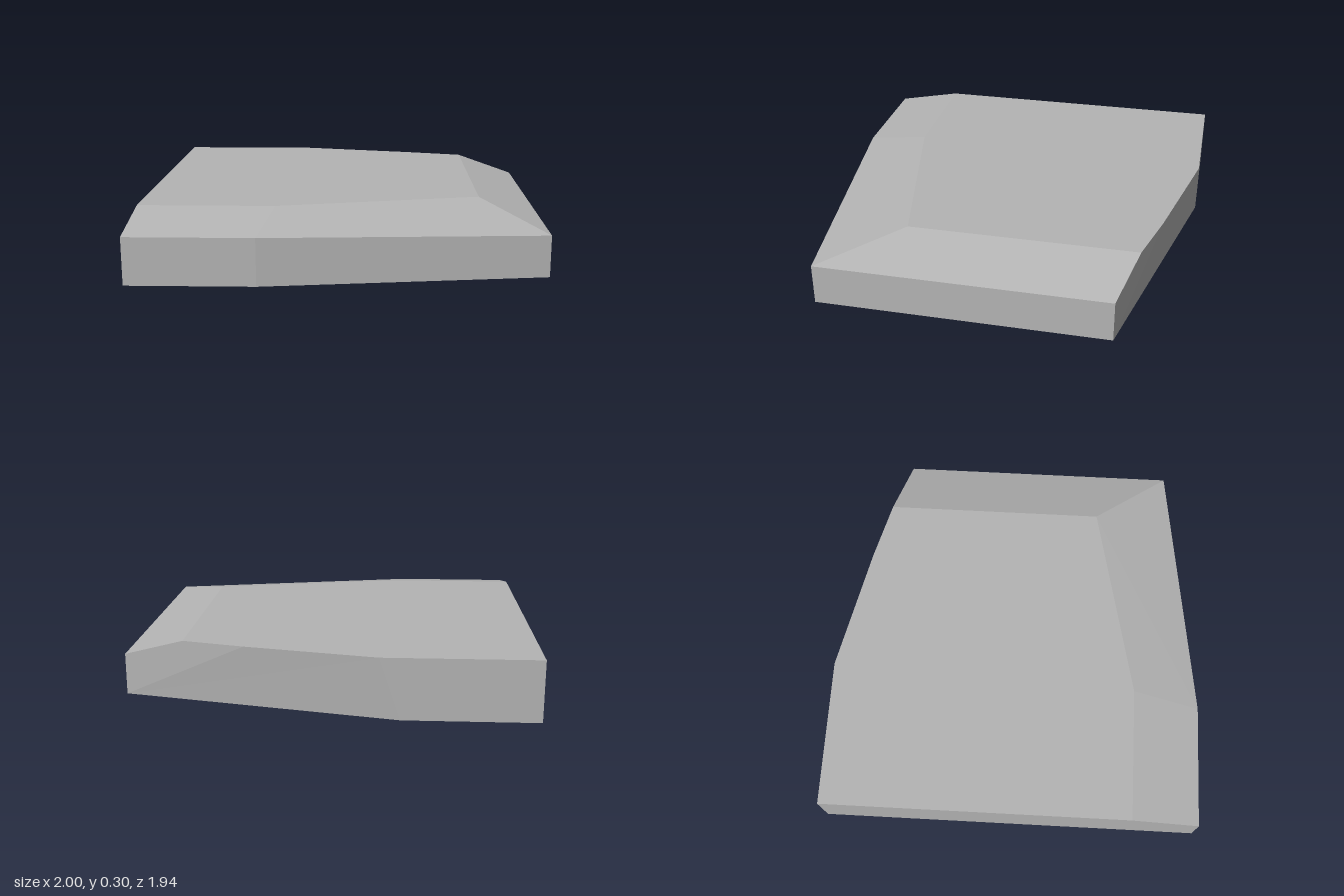
import * as THREE from 'three';

// Each face is a convex loop of corners, fanned into triangles turned away from the slab's middle.
function facesGeometry(loops) {
  const middle = new THREE.Vector3(0, 0.13, 0);
  const positions = [];
  for (const loop of loops) {
    const p = loop.map((c) => new THREE.Vector3(...c));
    for (let i = 1; i < p.length - 1; i++) {
      const tri = new THREE.Triangle(p[0], p[i], p[i + 1]);
      const normal = tri.getNormal(new THREE.Vector3());
      const outward = normal.dot(p[0].clone().sub(middle)) > 0;
      const order = outward ? [p[0], p[i], p[i + 1]] : [p[0], p[i + 1], p[i]];
      for (const v of order) positions.push(v.x, v.y, v.z);
    }
  }
  const geometry = new THREE.BufferGeometry();
  geometry.setAttribute('position', new THREE.Float32BufferAttribute(positions, 3));
  geometry.computeVertexNormals();
  return geometry;
}

export function createModel() {
  const group = new THREE.Group();
  group.name = 'slab';
  const grey = new THREE.MeshStandardMaterial({ color: 0xb4b4b4 });
  grey.name = 'stone grey';

  // Ground outline
  const base = {
    backLeft: [-1, 0, -0.97], backBend: [-0.35, 0, -0.97], backRight: [1, 0, -0.67],
    frontRight: [1, 0, 0.79], frontBend: [-0.38, 0, 0.97], frontLeft: [-1, 0, 0.97],
  };
  // Lower edge of the bevels
  const rim = {
    backRight: [1, 0.205, -0.67], frontRight: [1, 0.205, 0.79],
    frontBend: [-0.38, 0.233, 0.97], frontLeft: [-1, 0.233, 0.97],
  };
  // Flat upper face
  const top = {
    backLeft: [-1, 0.3, -0.97], backBend: [-0.25, 0.3, -0.97], backMiddle: [0.39, 0.3, -0.83],
    backRight: [0.695, 0.3, -0.75], frontRight: [0.695, 0.3, 0.4],
    frontBend: [-0.32, 0.3, 0.625], frontLeft: [-1, 0.3, 0.625],
  };

  const parts = {
    underside: [Object.values(base)],
    topFace: [Object.values(top)],
    frontWall: [
      [base.frontLeft, base.frontBend, rim.frontBend, rim.frontLeft],
      [base.frontBend, base.frontRight, rim.frontRight, rim.frontBend],
    ],
    rightWall: [[base.frontRight, base.backRight, rim.backRight, rim.frontRight]],
    leftWall: [[base.backLeft, base.frontLeft, rim.frontLeft, top.frontLeft, top.backLeft]],
    backWall: [
      [base.backLeft, top.backLeft, top.backBend, base.backBend],
      [base.backRight, base.backBend, top.backBend, top.backMiddle, top.backRight, rim.backRight],
    ],
    frontBevel: [
      [rim.frontLeft, rim.frontBend, top.frontBend, top.frontLeft],
      [rim.frontBend, rim.frontRight, top.frontRight, top.frontBend],
    ],
    rightBevel: [[rim.frontRight, rim.backRight, top.backRight, top.frontRight]],
  };

  for (const [name, loops] of Object.entries(parts)) {
    const mesh = new THREE.Mesh(facesGeometry(loops), grey);
    mesh.name = name;
    group.add(mesh);
  }
  return group;
}
